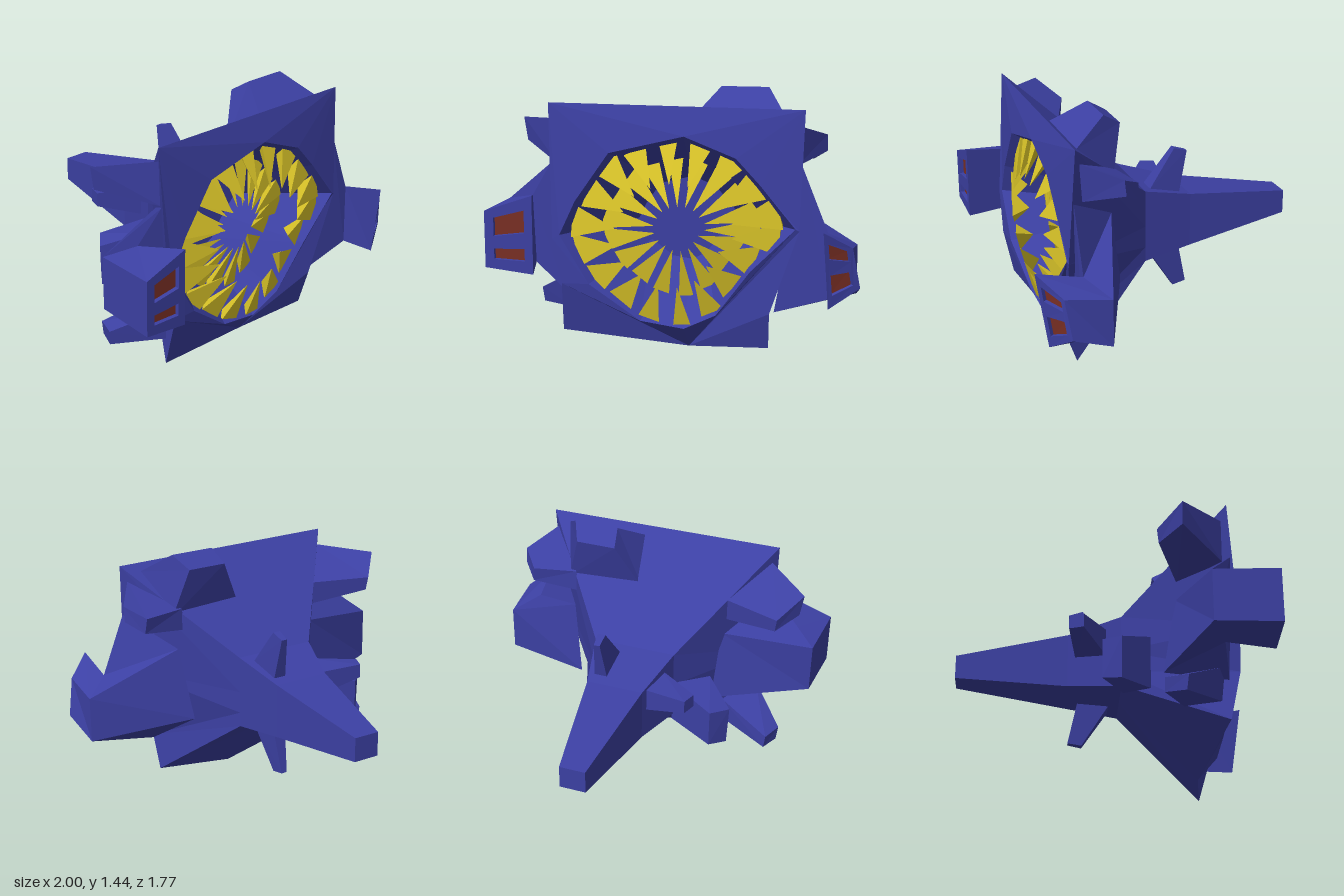
import * as THREE from 'three';

const mat = (name, color) => {
  const m = new THREE.MeshStandardMaterial({ color, flatShading: true });
  m.name = name;
  return m;
};

// Skin a list of equal-length point rings; caps = [first, last], inside turns faces inward
function loft(rings, caps = [true, true], inside = false) {
  const n = rings[0].length, last = rings.length - 1;
  const tris = [];
  for (let r = 0; r < last; r++) {
    for (let i = 0; i < n; i++) {
      const j = (i + 1) % n, [a, b] = [rings[r], rings[r + 1]];
      tris.push([a[i], a[j], b[j], true], [a[i], b[j], b[i], true]);
    }
  }
  for (let i = 1; i < n - 1; i++) {
    const f = rings[0], l = rings[last];
    tris.push([f[0], f[i + 1], f[i], caps[0]], [l[0], l[i], l[i + 1], caps[1]]);
  }
  // signed volume decides which way the faces point
  const V = p => new THREE.Vector3(...p);
  const origin = V(rings[0][0]);
  let volume = 0;
  for (const [a, b, c] of tris) {
    volume += V(a).sub(origin).dot(V(b).sub(origin).cross(V(c).sub(origin)));
  }
  const flip = (volume < 0) !== inside;
  const pos = [];
  for (const [a, b, c, keep] of tris) {
    if (keep) pos.push(...a, ...(flip ? c : b), ...(flip ? b : c));
  }
  const g = new THREE.BufferGeometry();
  g.setAttribute('position', new THREE.Float32BufferAttribute(pos, 3));
  g.computeVertexNormals();
  return g;
}

// Flat outline with holes, each vertex then moved to place(x, y)
function plate(outline, holes, place) {
  const v2 = list => list.map(p => new THREE.Vector2(p[0], p[1]));
  const shape = new THREE.Shape(v2(outline));
  shape.holes = holes.map(h => new THREE.Path(v2(h)));
  const g = new THREE.ShapeGeometry(shape);
  const p = g.attributes.position;
  for (let i = 0; i < p.count; i++) p.setXYZ(i, ...place(p.getX(i), p.getY(i)));
  g.computeVertexNormals();
  return g;
}

// Ten-point box section: corners, edge middles and low side points
const section = (x0, x1, y0, y1, z) => {
  const xm = (x0 + x1) / 2, ym = (y0 + y1) / 2, yl = y0 + (y1 - y0) * 0.2;
  return [[x0, y1, z], [xm, y1, z], [x1, y1, z], [x1, ym, z], [x1, yl, z],
    [x1, y0, z], [xm, y0, z], [x0, y0, z], [x0, yl, z], [x0, ym, z]];
};

export function createModel() {
  const group = new THREE.Group();
  const blue = mat('blueHide', 0x3c40a3);
  const yellow = mat('yellowTooth', 0xe0ca2a);
  const red = mat('redEye', 0x7a2f24);
  const add = (name, geometry, material = blue, parent = group) => {
    const mesh = new THREE.Mesh(geometry, material);
    mesh.name = name;
    parent.add(mesh);
  };

  // Funnel body narrowing to the tail
  const front = [[-0.70, 1.36, 0.61], [0, 1.355, 0.61], [0.69, 1.35, 0.61], [0.67, 0.71, 0.65],
    [0.51, 0.24, 0.62], [0.50, 0.03, 0.56], [0.05, 0, 0.50], [-0.64, 0.09, 0.60],
    [-0.63, 0.37, 0.66], [-0.68, 0.62, 0.66]];
  add('body', loft([
    front,
    section(-0.25, 0.23, 0.44, 0.87, 0.05),
    section(-0.16, 0.17, 0.47, 0.79, -0.25),
    section(-0.06, 0.09, 0.55, 0.69, -0.89),
  ], [false, true]));

  // Face plate around the mouth opening, leaning back towards the chin
  const rim = [[0.05, 1.20], [0.33, 1.09], [0.46, 0.95], [0.65, 0.72], [0.41, 0.48], [0.22, 0.22],
    [0.04, 0.13], [-0.20, 0.165], [-0.48, 0.37], [-0.64, 0.64], [-0.55, 0.83], [-0.36, 1.10]];
  const rimZ = y => Math.min(0.655, 0.59 + 0.17 * y);
  add('facePlate', plate(front, [rim], (x, y) =>
    front.find(p => Math.hypot(p[0] - x, p[1] - y) < 1e-4) ?? [x, y, rimZ(y)]));

  // Throat sinking from the rim to a flat back
  const cx = 0, cy = 0.67;
  add('throat', loft([
    rim.map(([x, y]) => [x, y, rimZ(y)]),
    rim.map(([x, y]) => [cx + (x - cx) * 0.45, cy + (y - cy) * 0.45, 0.22]),
  ], [false, true], true));

  // Two rows of flat-fronted teeth pointing at the centre, broader at the sides of the mouth
  const rimPath = new THREE.Path(rim.concat([rim[0]]).map(p => new THREE.Vector2(...p)));
  const rows = [
    { name: 'outerTooth', base: 0.96, baseZ: 0.61, tip: 0.54, tipZ: 0.68, w: 0.045, flare: 0.05 },
    { name: 'innerTooth', base: 0.74, baseZ: 0.44, tip: 0.24, tipZ: 0.52, w: 0.04, flare: 0.025 },
  ];
  const teeth = new THREE.Group();
  teeth.name = 'teeth';
  group.add(teeth);
  const count = 18;
  for (const row of rows) {
    for (let i = 0; i < count; i++) {
      const p = rimPath.getPointAt((i + 0.5) / count);
      const [dx, dy] = [p.x - cx, p.y - cy];
      const len = Math.hypot(dx, dy), [ux, uy] = [dx / len, dy / len];
      const w = row.w + row.flare * Math.abs(ux);
      // triangle across the tooth: two front corners and one behind
      const tri = (s, z, k) => [[-w, 0], [w, 0], [0, -1.5 * w]].map(([side, back]) =>
        [cx + dx * s - uy * side * k, cy + dy * s + ux * side * k, z + back * k]);
      add(row.name, loft([tri(row.base, row.baseZ, 1), tri(row.tip, row.tipZ, 0.02)]), yellow, teeth);
    }
  }

  // Side flares, each bending forward into an eye pod with two sunken red slots
  const pods = [
    { side: 'left',
      base: [[0.47, 0.88, 0.34], [0.68, 1.05, 0.62], [0.53, 0.24, 0.58], [0.41, 0.45, 0.27]],
      bend: [[0.97, 0.62, 0.51], [0.82, 0.70, 0.62], [0.83, 0.34, 0.62], [0.97, 0.35, 0.51]],
      eye: [[0.96, 0.66, 0.77], [0.815, 0.76, 0.88], [0.84, 0.34, 0.82], [1.0, 0.44, 0.74]],
      slots: [[0.15, 0.85, 0.13, 0.34], [0.18, 0.85, 0.56, 0.85]] },
    { side: 'right',
      base: [[-0.69, 1.03, 0.62], [-0.45, 0.88, 0.34], [-0.42, 0.45, 0.27], [-0.63, 0.32, 0.60]],
      bend: [[-0.81, 0.84, 0.57], [-0.97, 0.80, 0.48], [-0.97, 0.50, 0.48], [-0.80, 0.46, 0.56]],
      eye: [[-0.735, 0.89, 0.84], [-1, 0.80, 0.84], [-1, 0.49, 0.84], [-0.735, 0.46, 0.84]],
      slots: [[0.17, 0.81, 0.16, 0.46], [0.17, 0.81, 0.67, 0.84]] },
  ];
  for (const { side, base, bend, eye, slots } of pods) {
    add(side + 'Flare', loft([base, bend], [false, true]));
    add(side + 'EyePod', loft([bend, eye], [true, false]));
    // point on the eye face: u across, v down, d outwards
    const [A, B, C, D] = eye.map(p => new THREE.Vector3(...p));
    const n = B.clone().sub(A).cross(D.clone().sub(A)).normalize();
    const on = (u, v, d = 0) =>
      A.clone().lerp(B, u).lerp(D.clone().lerp(C, u), v).addScaledVector(n, d).toArray();
    const holes = slots.map(([u0, u1, v0, v1]) => [[u0, v0], [u1, v0], [u1, v1], [u0, v1]]);
    add(side + 'EyeFrame', plate([[0, 0], [1, 0], [1, 1], [0, 1]], holes, (u, v) => on(u, v)));
    for (const h of holes) {
      const rings = [0, -0.025].map(d => h.map(([u, v]) => on(u, v, d)));
      add(side + 'EyeRecess', loft(rings, [false, false], true));
      add(side + 'EyeSlot', plate(h, [], (u, v) => on(u, v, -0.025)), red);
    }
  }

  // Blunt four-sided spikes: base ring, then tip ring
  const spikes = {
    topSpike: [
      [[0.10, 1.31, 0.57], [0.58, 1.31, 0.57], [0.50, 1.08, 0.34], [0.05, 1.08, 0.36]],
      [[0.21, 1.44, 0.38], [0.47, 1.44, 0.38], [0.42, 1.37, 0.27], [0.19, 1.37, 0.27]]],
    upperLeftSpike: [
      [[0.66, 1.26, 0.58], [0.45, 1.13, 0.32], [0.43, 1.00, 0.32], [0.64, 1.04, 0.56]],
      [[0.79, 1.19, 0.38], [0.70, 1.13, 0.27], [0.71, 1.04, 0.28], [0.79, 1.10, 0.37]]],
    upperRightSpike: [
      [[-0.67, 1.27, 0.58], [-0.46, 1.12, 0.34], [-0.46, 0.98, 0.35], [-0.66, 1.02, 0.58]],
      [[-0.92, 1.24, 0.34], [-0.80, 1.13, 0.21], [-0.79, 1.05, 0.22], [-0.90, 1.11, 0.34]]],
    lowerRightSpike: [
      [[-0.62, 0.40, 0.58], [-0.46, 0.37, 0.38], [-0.46, 0.23, 0.38], [-0.60, 0.21, 0.56]],
      [[-0.83, 0.26, 0.36], [-0.78, 0.26, 0.24], [-0.77, 0.18, 0.24], [-0.82, 0.175, 0.35]]],
    flankSpike: [
      [[-0.43, 0.66, 0.20], [-0.24, 0.66, 0.06], [-0.24, 0.40, 0.06], [-0.41, 0.36, 0.20]],
      [[-0.60, 0.58, 0.03], [-0.51, 0.60, -0.07], [-0.51, 0.37, -0.07], [-0.59, 0.34, 0.03]]],
    tailSideSpike: [
      [[-0.20, 0.80, -0.02], [-0.12, 0.78, -0.20], [-0.12, 0.63, -0.20], [-0.20, 0.63, -0.02]],
      [[-0.44, 0.79, -0.17], [-0.41, 0.79, -0.25], [-0.41, 0.71, -0.25], [-0.44, 0.71, -0.17]]],
    tailTopSpike: [
      [[0.06, 0.85, 0], [0.165, 0.85, 0], [0.15, 0.76, -0.18], [0.07, 0.76, -0.18]],
      [[0.09, 1.07, -0.16], [0.135, 1.07, -0.16], [0.13, 1.045, -0.24], [0.095, 1.045, -0.24]]],
    tailBottomSpike: [
      [[0.06, 0.46, 0], [0.165, 0.46, 0], [0.15, 0.50, -0.18], [0.07, 0.50, -0.18]],
      [[0.09, 0.21, -0.16], [0.135, 0.21, -0.16], [0.13, 0.225, -0.24], [0.095, 0.225, -0.24]]],
  };
  for (const [name, rings] of Object.entries(spikes)) add(name, loft(rings));

  return group;
}
